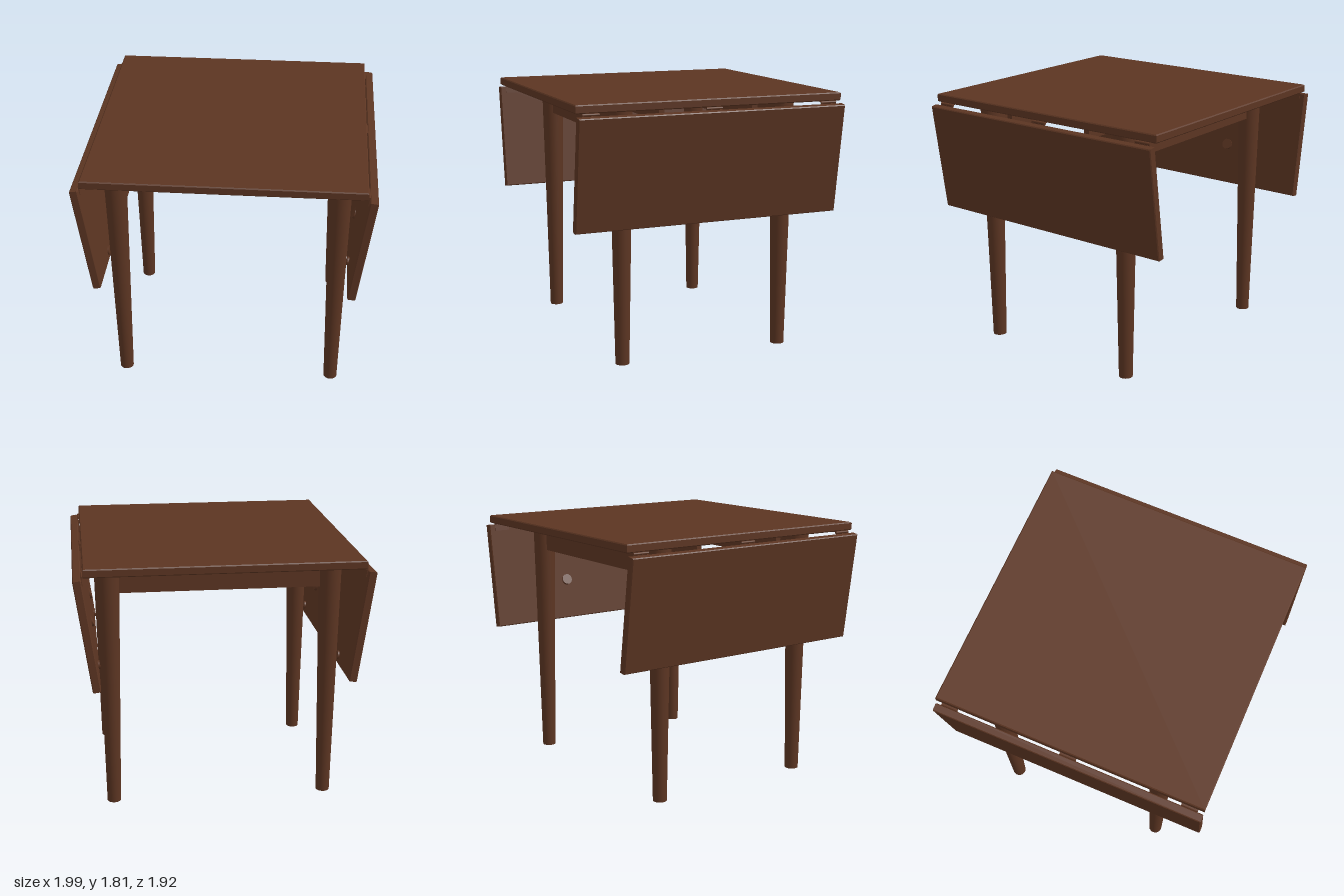
import * as THREE from 'three';

export function createModel() {
  const model = new THREE.Group();
  model.name = 'dropLeafTable';
  const wood = new THREE.MeshStandardMaterial({ color: 0x5c3522 });
  wood.name = 'walnut brown';

  function add(parent, name, geometry, x, y, z) {
    const mesh = new THREE.Mesh(geometry, wood);
    mesh.name = name;
    mesh.position.set(x, y, z);
    parent.add(mesh);
    return mesh;
  }

  // Panel lying flat, with small chamfers on its long edges
  function panel(w, h, d, c) {
    const a = w / 2 - c, b = d / 2 - c;
    const shape = new THREE.Shape([
      new THREE.Vector2(-a, -b), new THREE.Vector2(a, -b),
      new THREE.Vector2(a, b), new THREE.Vector2(-a, b),
    ]);
    const g = new THREE.ExtrudeGeometry(shape, {
      depth: h - 2 * c, bevelEnabled: true, bevelSize: c, bevelThickness: c, bevelSegments: 1,
    });
    g.translate(0, 0, c - h / 2);
    g.rotateX(-Math.PI / 2);
    return g;
  }

  // Fixed centre top
  add(model, 'tableTop', panel(1.86, 0.057, 1.92, 0.007), 0, 1.7825, 0);

  // Round tapered legs and the rails between them
  for (const z of [-0.595, 0.595]) {
    for (const x of [-0.76, 0.76]) {
      add(model, 'leg', new THREE.CylinderGeometry(0.08, 0.048, 1.755, 40), x, 0.8775, z);
    }
    add(model, 'apron', new THREE.BoxGeometry(1.42, 0.207, 0.045), 0, 1.6515, z);
  }

  // Each side: pull-out supports, hinges and a hanging leaf
  for (const turn of [0, Math.PI]) {
    const side = new THREE.Group();
    side.name = 'leafSide';
    side.rotation.y = turn;
    model.add(side);

    for (const z of [-0.34, 0.34]) {
      add(side, 'slidingSupport', new THREE.BoxGeometry(0.74, 0.085, 0.04), 0.48, 1.7125, z);
    }

    const leaf = new THREE.Group();
    leaf.name = 'hangingLeaf';
    leaf.position.set(0.915, 1.352, 0);
    leaf.rotation.z = -0.14;
    side.add(leaf);
    const board = panel(0.772, 0.056, 1.92, 0.006);
    board.rotateZ(Math.PI / 2);
    add(leaf, 'leafPanel', board, 0, 0, 0);

    // Slanted round stops that meet the supports when the leaf is raised
    for (const z of [-0.34, 0.34]) {
      const stop = add(leaf, 'supportStop', new THREE.CylinderGeometry(0.04, 0.04, 0.02, 24), -0.028, -0.087, z);
      stop.rotation.z = Math.PI / 2 - 0.26;
    }

    // Pads resting beside the legs
    for (const z of [-0.595, 0.595]) {
      const pad = add(leaf, 'bumperPad', new THREE.CylinderGeometry(0.03, 0.03, 0.014, 20), -0.033, -0.325, z);
      pad.rotation.z = Math.PI / 2;
    }

    // Hinge knuckles with their plates
    for (const z of [-0.86, 0, 0.86]) {
      const knuckle = add(side, 'hingeKnuckle', new THREE.CylinderGeometry(0.009, 0.009, 0.115, 12), 0.935, 1.747, z);
      knuckle.rotation.x = Math.PI / 2;
      add(side, 'hingeTopPlate', new THREE.BoxGeometry(0.05, 0.005, 0.115), 0.908, 1.7525, z);
      add(leaf, 'hingeLeafPlate', new THREE.BoxGeometry(0.005, 0.05, 0.115), -0.03, 0.362, z);
    }
  }
  return model;
}
